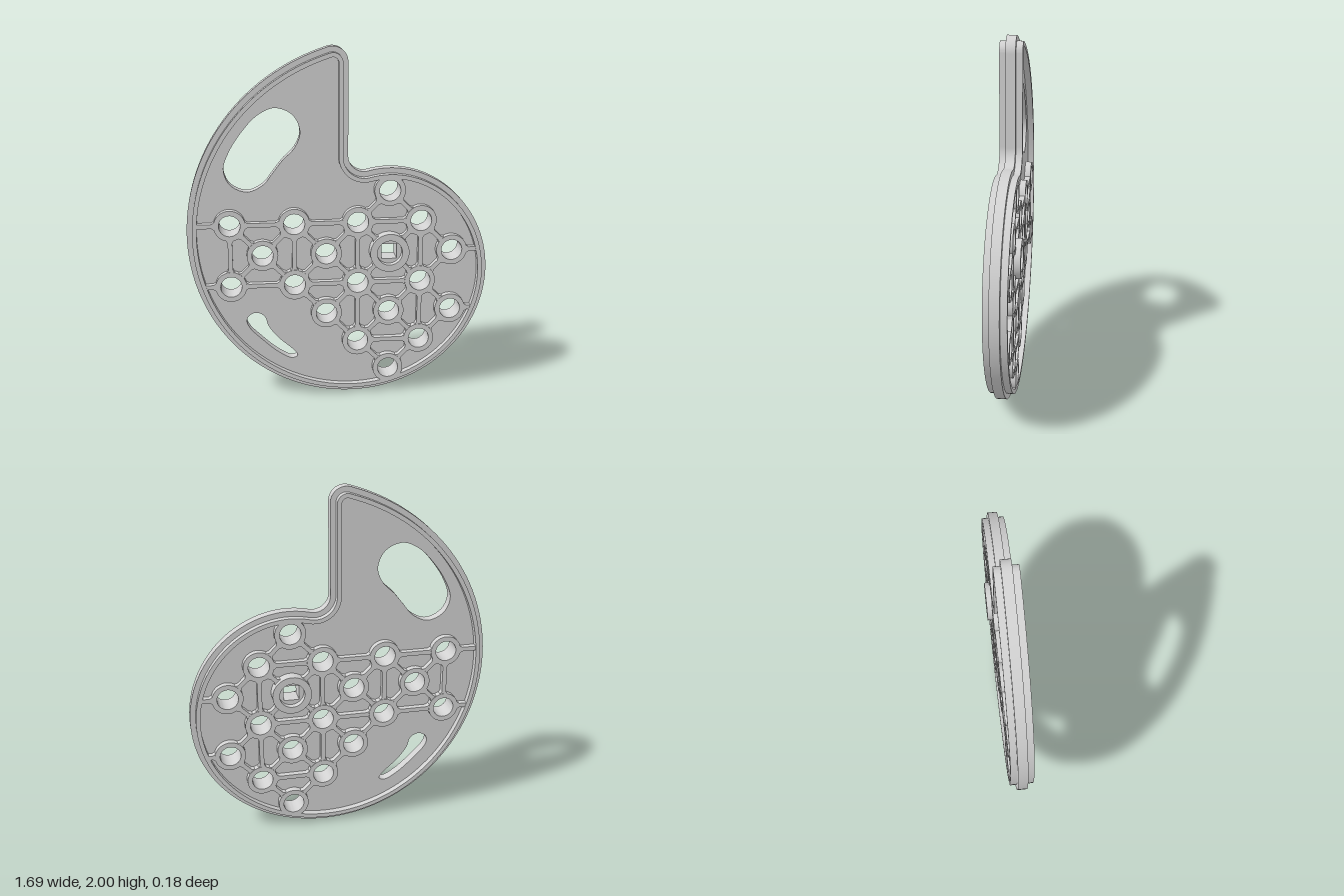
import * as THREE from 'three';
import { toCreasedNormals } from 'three/addons/utils/BufferGeometryUtils.js';

const HUB = new THREE.Vector2(0.28, 0.855);
const PITCH = 0.1775;
const R_MIN = 0.476, R_MAX = 1.19;
const V = (x, y) => new THREE.Vector2(x, y);

// Cam radius, smoothly rising over one turn (angle clockwise from straight up)
function camRadius(a) {
  const t = THREE.MathUtils.clamp(a / (2 * Math.PI), 0, 1);
  return R_MIN + (R_MAX - R_MIN) * t ** 3 * (10 - 15 * t + 6 * t * t);
}

// Closed clockwise cam outline with a rounded tip and a filleted notch
function camOutline() {
  const pts = [];
  const arc = (c, r, a0, a1, n) => {
    for (let i = 0; i <= n; i++) {
      const a = a0 + (a1 - a0) * i / n;
      pts.push(V(c.x + r * Math.cos(a), c.y + r * Math.sin(a)));
    }
  };
  const edge = 0.05, tipR = 0.085, notchR = 0.09;
  const tip = V(edge - tipR, 0);
  tip.y = HUB.y + Math.sqrt((R_MAX - tipR) ** 2 - (tip.x - HUB.x) ** 2);
  const notch = V(edge + notchR, 0);
  notch.y = HUB.y + Math.sqrt((R_MIN + notchR) ** 2 - (notch.x - HUB.x) ** 2);
  const start = Math.atan2(notch.x - HUB.x, notch.y - HUB.y);
  const end = 2 * Math.PI + Math.atan2(tip.x - HUB.x, tip.y - HUB.y);
  for (let i = 1; i < 160; i++) {
    const a = start + (end - start) * i / 160, r = camRadius(a);
    pts.push(V(HUB.x + r * Math.sin(a), HUB.y + r * Math.cos(a)));
  }
  arc(tip, tipR, 2.5 * Math.PI - end, 0, 14);
  arc(notch, notchR, Math.PI, 1.5 * Math.PI - start, 14);
  return pts;
}

// Moves a clockwise outline inwards by d
function inset(pts, d) {
  const n = pts.length;
  return pts.map((p, i) => {
    const a = p.clone().sub(pts[(i + n - 1) % n]).normalize();
    const b = pts[(i + 1) % n].clone().sub(p).normalize();
    const t = a.add(b).normalize();
    return V(p.x + t.y * d, p.y - t.x * d);
  });
}

const circle = (c, r, n = 40) => Array.from({ length: n }, (_, i) =>
  V(c.x + r * Math.cos(i / n * 2 * Math.PI), c.y + r * Math.sin(i / n * 2 * Math.PI)));

const smoothLoop = list => new THREE.CatmullRomCurve3(
  list.map(([x, y]) => new THREE.Vector3(x, y, 0)), true).getPoints(72).slice(0, -1).map(p => V(p.x, p.y));

// Flat slab with holes, from -h to +h in z; holes wind counter-clockwise, the outside clockwise
function slab(outer, holes, h) {
  const wind = (pts, clockwise) =>
    THREE.ShapeUtils.isClockWise(pts) === clockwise ? pts : [...pts].reverse();
  const shape = new THREE.Shape(wind(outer, true));
  shape.holes = holes.map(pts => new THREE.Path(wind(pts, false)));
  const geo = new THREE.ExtrudeGeometry(shape, { depth: 2 * h, bevelEnabled: false });
  geo.translate(0, 0, -h);
  return toCreasedNormals(geo, 0.5);
}

export function createModel() {
  const group = new THREE.Group();
  const grey = new THREE.MeshStandardMaterial({ color: 0xd2d2d2 });
  grey.name = 'grey';
  const add = (name, geo) => {
    const mesh = new THREE.Mesh(geo, grey);
    mesh.name = name;
    group.add(mesh);
    return mesh;
  };

  // Lattice of peg holes around the hub
  const nodes = [[0, 2], [-5, 1], [-3, 1], [-1, 1], [1, 1], [-4, 0], [-2, 0], [2, 0],
    [-5, -1], [-3, -1], [-1, -1], [1, -1], [-2, -2], [0, -2], [2, -2], [-1, -3], [1, -3], [0, -4]];
  const at = ([i, j]) => V(HUB.x + i * PITCH, HUB.y + j * PITCH);

  // Web plate with two windows
  const upperWindow = smoothLoop([[-0.442, 1.635], [-0.347, 1.675], [-0.251, 1.635], [-0.212, 1.54],
    [-0.243, 1.455], [-0.31, 1.386], [-0.368, 1.312], [-0.415, 1.254], [-0.505, 1.214],
    [-0.595, 1.254], [-0.63, 1.339], [-0.6, 1.434], [-0.532, 1.54]]);
  const lowerWindow = smoothLoop([[-0.468, 0.504], [-0.425, 0.48], [-0.405, 0.423], [-0.352, 0.35],
    [-0.257, 0.26], [-0.24, 0.23], [-0.272, 0.217], [-0.352, 0.26], [-0.442, 0.34],
    [-0.51, 0.413], [-0.526, 0.455], [-0.51, 0.49]]);
  const outline = camOutline();
  const pegHoles = nodes.map(n => circle(at(n), 0.07));
  add('webPlate', slab(outline, [upperWindow, lowerWindow, circle(HUB, 0.08), ...pegHoles], 0.027));

  // Raised rim on both faces
  add('rim', slab(inset(outline, 0.03), [inset(outline, 0.054)], 0.063));

  // Ring bosses around the peg holes
  for (const n of nodes) add('boss', slab(circle(at(n), 0.087), [circle(at(n), 0.059)], 0.063));

  // Hub collar and its floor with a square shaft hole
  add('hubCollar', slab(circle(HUB, 0.11), [circle(HUB, 0.071)], 0.088));
  const s = 0.043;
  const square = [V(-s, -s), V(s, -s), V(s, s), V(-s, s)].map(p => p.add(HUB));
  add('hubFloor', slab(circle(HUB, 0.085), [square], 0.052));

  // Ribs between bosses, flared where they meet a boss of the given radius (0 = plain end)
  const rib = (a, b, radiusA, radiusB) => {
    const d = b.clone().sub(a), len = d.length(), w = 0.0125, flare = 0.026;
    const half = [];
    const root = radius => radius - 0.009;
    if (radiusA) half.push(V(root(radiusA), flare), V(radiusA + 0.012, w));
    if (radiusB) half.push(V(len - radiusB - 0.012, w), V(len - root(radiusB), flare));
    else half.push(V(len, w));
    const mirrored = half.map(p => V(p.x, -p.y)).reverse();
    const mesh = add('rib', slab([...half, ...mirrored], [], 0.06));
    mesh.position.set(a.x, a.y, 0);
    mesh.rotation.z = Math.atan2(d.y, d.x);
  };
  const all = [...nodes, [0, 0]];
  all.forEach((a, k) => all.slice(k + 1).forEach(b => {
    const dx = Math.abs(a[0] - b[0]), dy = Math.abs(a[1] - b[1]);
    const straight = dx + dy === 2 && dx * dy === 0 && a[0] % 2 !== 0;
    if (straight || (dx === 1 && dy === 1)) {
      const isHub = b[0] === 0 && b[1] === 0;
      rib(at(a), at(b), 0.087, isHub ? 0.11 : 0.087);
    }
  }));

  // Short ribs out to the rim
  for (const [i, j, x] of [[-5, 1, -0.795], [-5, -1, -0.75], [2, 0, 0.785], [2, -2, 0.765]]) {
    const p = at([i, j]);
    rib(p, V(x, p.y), 0.087, 0);
  }
  return group;
}
